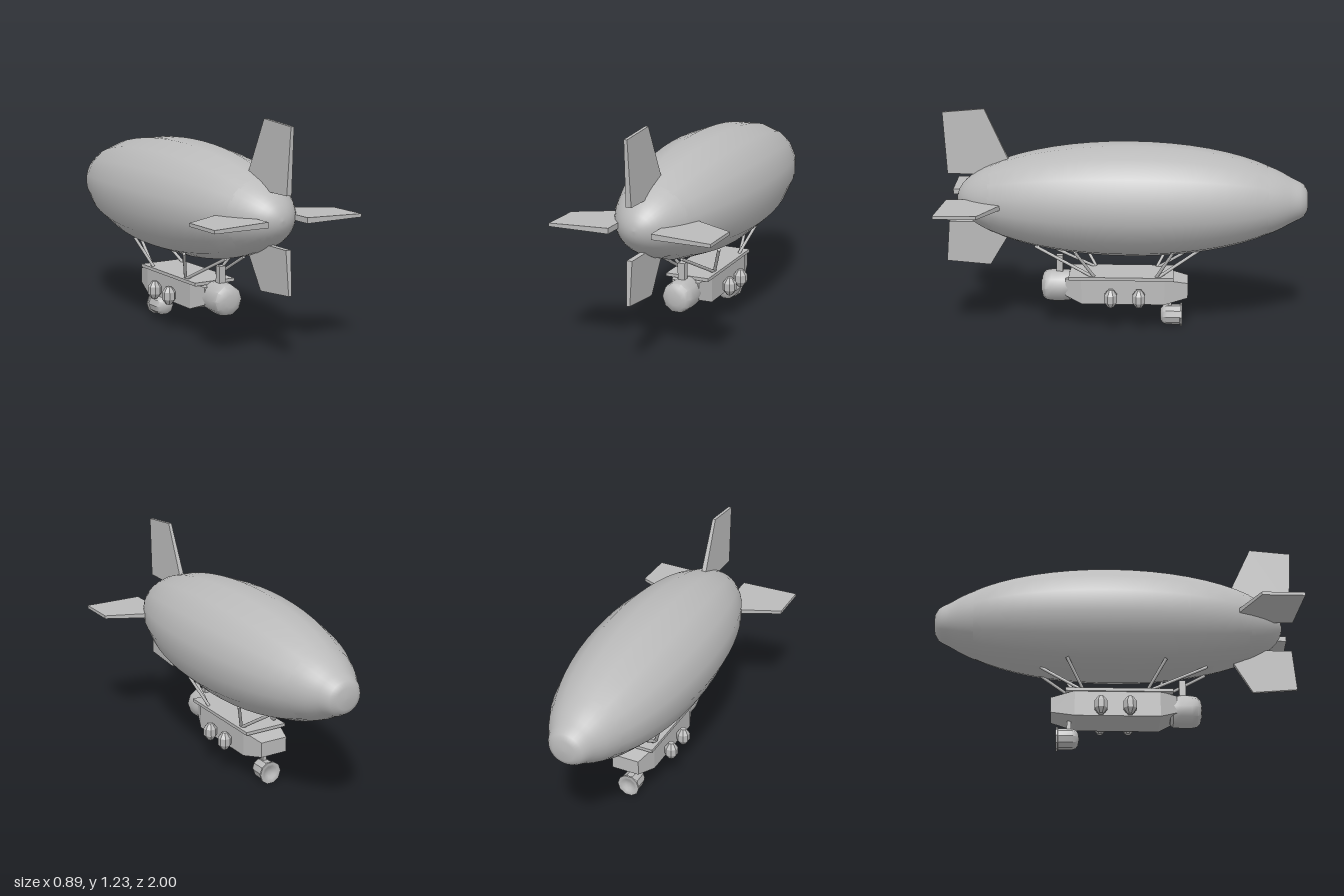
import * as THREE from 'three';
import { toCreasedNormals } from 'three/addons/utils/BufferGeometryUtils.js';

const AXIS_Y = 0.737;

export function createModel() {
  const model = new THREE.Group();
  model.name = 'airship';
  const grey = new THREE.MeshStandardMaterial({ color: 0xbababa });
  grey.name = 'grey';

  function add(name, geometry, x = 0, y = 0, z = 0, parent = model) {
    const mesh = new THREE.Mesh(geometry, grey);
    mesh.name = name;
    mesh.position.set(x, y, z);
    parent.add(mesh);
    return mesh;
  }

  // Turned shape along z from [radius, z] pairs, z ascending
  function turned(points, sides) {
    const profile = points.map(([r, z]) => new THREE.Vector2(r, z));
    return new THREE.LatheGeometry(profile, sides, Math.PI / sides).rotateX(Math.PI / 2);
  }

  // Round bar between two points
  function bar(name, a, b, radius) {
    const from = new THREE.Vector3(...a), to = new THREE.Vector3(...b);
    const dir = to.clone().sub(from);
    const mesh = add(name, new THREE.CylinderGeometry(radius, radius, dir.length(), 8));
    mesh.position.copy(from).add(to).multiplyScalar(0.5);
    mesh.quaternion.setFromUnitVectors(new THREE.Vector3(0, 1, 0), dir.normalize());
  }

  // Envelope: sixteen-sided middle with round tail and nose caps
  const hullRadius = (z) => Math.sqrt(Math.max(0, 1 - ((z + 0.02) / 0.95) ** 2));
  function hullPoints(from, to, count) {
    const a = Math.asin((from + 0.02) / 0.95), b = Math.asin(Math.min(1, (to + 0.02) / 0.95));
    return Array.from({ length: count + 1 }, (_, i) => {
      const z = -0.02 + 0.95 * Math.sin(a + (b - a) * i / count);
      return [hullRadius(z), z];
    });
  }
  add('envelope', turned(hullPoints(-0.79, 0.74, 16), 16).scale(0.346, 0.316, 1), 0, AXIS_Y);
  add('tailCap', turned(hullPoints(0.73, 0.93, 8), 32).scale(0.342, 0.314, 1), 0, AXIS_Y);
  const nose = [[0, -1], [0.062, -0.998], [0.095, -0.98], [0.113, -0.955], [0.125, -0.93],
    [0.145, -0.895], [0.167, -0.86], [0.19, -0.815], [0.207, -0.775]];
  add('noseCap', turned(nose, 32).scale(1, 0.925, 1), 0, AXIS_Y);

  // Tail fins: tapered slabs; corners are [distance from axis, z]
  function fin(name, rootRear, tipRear, tipFront, rootFront, angle) {
    const g = new THREE.BoxGeometry(1, 1, 1);
    const p = g.attributes.position;
    for (let i = 0; i < p.count; i++) {
      const tip = p.getX(i) > 0, rear = p.getZ(i) > 0;
      const [r, z] = tip ? (rear ? tipRear : tipFront) : (rear ? rootRear : rootFront);
      p.setXYZ(i, r, p.getY(i) * (tip ? 0.018 : 0.03), z);
    }
    g.computeVertexNormals();
    add(name, g, 0, AXIS_Y).rotation.z = angle;
  }
  const sideFin = [[0.118, 0.975], [0.443, 0.995], [0.443, 0.765], [0.118, 0.615]];
  fin('leftFin', ...sideFin, 0);
  fin('rightFin', ...sideFin, Math.PI);
  fin('topFin', [0.135, 0.98], [0.478, 1], [0.498, 0.77], [0.135, 0.605], Math.PI / 2);
  fin('bottomFin', [0.137, 0.98], [0.367, 1], [0.387, 0.755], [0.137, 0.605], -Math.PI / 2);

  // Gondola: stations of [z, bottom, top, half width]
  const stations = [[-0.35, 0.19, 0.275, 0.08], [-0.22, 0.16, 0.302, 0.115],
    [0.24, 0.16, 0.302, 0.115], [0.33, 0.195, 0.292, 0.08]];
  const body = new THREE.BoxGeometry(2, 1, 3, 1, 1, 3);
  const bp = body.attributes.position;
  for (let i = 0; i < bp.count; i++) {
    const [z, bottom, top, half] = stations[Math.round(bp.getZ(i) + 1.5)];
    bp.setXYZ(i, bp.getX(i) * half, bp.getY(i) > 0 ? top : bottom, z);
  }
  add('gondola', toCreasedNormals(body, 0.1));
  add('gondolaRoof', new THREE.BoxGeometry(0.25, 0.018, 0.58), 0, 0.308, 0.02);

  // Side pods and suspension struts, mirrored
  const podProfile = [[0, -0.05], [0.016, -0.05], [0.038, -0.02], [0.038, 0.02], [0.016, 0.05], [0, 0.05]]
    .map(([r, y]) => new THREE.Vector2(r, y));
  const pod = toCreasedNormals(new THREE.LatheGeometry(podProfile, 8, Math.PI / 8), 0.1);
  for (const s of [1, -1]) {
    for (const z of [0.075, -0.08]) add('sidePod', pod, s * 0.15, 0.206, z);
    bar('rearOuterStrut', [s * 0.1, 0.315, 0.17], [s * 0.17, 0.475, 0.27], 0.009);
    bar('rearInnerStrut', [s * 0.1, 0.315, 0.18], [s * 0.058, 0.475, 0.5], 0.009);
    bar('frontOuterStrut', [s * 0.1, 0.315, -0.175], [s * 0.17, 0.475, -0.265], 0.009);
    bar('frontInnerStrut', [s * 0.1, 0.315, -0.185], [s * 0.058, 0.468, -0.42], 0.009);
  }

  // Rear engine on its hanger
  const engine = [[0, -0.085], [0.07, -0.085], [0.086, -0.07], [0.089, -0.03], [0.089, 0.03],
    [0.083, 0.062], [0.065, 0.08], [0.035, 0.088], [0, 0.09]];
  add('rearEngine', toCreasedNormals(turned(engine, 10), 0.7), 0, 0.233, 0.382);
  add('rearEngineHanger', new THREE.BoxGeometry(0.04, 0.11, 0.036), 0, 0.355, 0.367);

  // Lower front engine: rounded at the back, dished rim ahead
  const frontEngine = [[0, -0.045], [0.025, -0.05], [0.04, -0.06], [0.052, -0.064], [0.065, -0.064],
    [0.065, -0.054], [0.057, -0.052], [0.057, 0.02], [0.05, 0.042], [0.033, 0.056], [0, 0.061]];
  add('frontEngine', toCreasedNormals(turned(frontEngine, 10), 0.6), 0, 0.066, -0.255);
  add('frontEngineHanger', new THREE.BoxGeometry(0.022, 0.06, 0.022), 0, 0.145, -0.25);

  return model;
}
